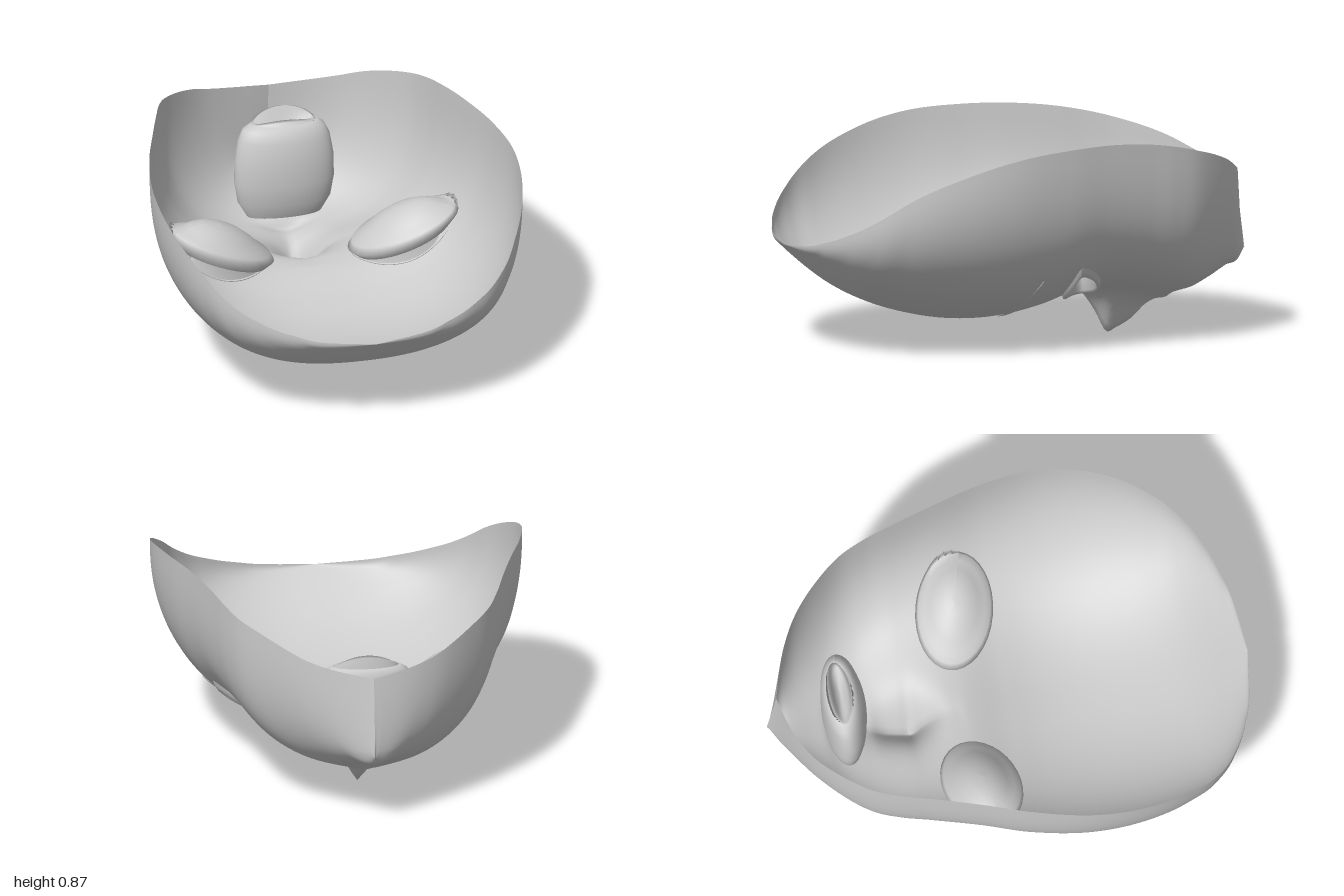
import * as THREE from 'three';

const material = new THREE.MeshStandardMaterial({ color: 0xcccccc, side: THREE.DoubleSide });

// Smooth curve through [position, value] pairs sorted by position
function curve(pts) {
  const step = i => (pts[i + 1][1] - pts[i][1]) / (pts[i + 1][0] - pts[i][0]);
  const slope = i => {
    if (i === 0) return step(0);
    if (i === pts.length - 1) return step(i - 1);
    const h0 = pts[i][0] - pts[i - 1][0], h1 = pts[i + 1][0] - pts[i][0];
    return (step(i - 1) * h1 + step(i) * h0) / (h0 + h1);
  };
  return p => {
    if (p <= pts[0][0]) return pts[0][1];
    if (p >= pts[pts.length - 1][0]) return pts[pts.length - 1][1];
    let i = 0;
    while (p > pts[i + 1][0]) i++;
    const [x0, y0] = pts[i], [x1, y1] = pts[i + 1];
    const h = x1 - x0, t = (p - x0) / h, t2 = t * t, t3 = t2 * t;
    return (2 * t3 - 3 * t2 + 1) * y0 + (t3 - 2 * t2 + t) * h * slope(i)
      + (3 * t2 - 2 * t3) * y1 + (t3 - t2) * h * slope(i + 1);
  };
}

// Outline half-width, rim height, lowest line, section squareness, nose and lips, along z (chin to forehead)
const halfWidth = curve([[-1, 0], [-0.95, 0.13], [-0.88, 0.26], [-0.8, 0.365], [-0.72, 0.445], [-0.63, 0.515], [-0.52, 0.565],
  [-0.4, 0.603], [-0.2, 0.665], [0, 0.725], [0.26, 0.765], [0.43, 0.75], [0.66, 0.67], [0.78, 0.59], [0.87, 0.48],
  [0.94, 0.33], [0.98, 0.18], [1, 0]]);
const rimY = curve([[-1, 0.65], [-0.88, 0.705], [-0.8, 0.75], [-0.6, 0.82], [-0.4, 0.86], [-0.2, 0.875], [0, 0.87],
  [0.2, 0.85], [0.43, 0.79], [0.67, 0.68], [0.83, 0.56], [1, 0.43]]);
const lowY = curve([[-1, 0.33], [-0.97, 0.285], [-0.9, 0.26], [-0.8, 0.215], [-0.7, 0.18], [-0.6, 0.175], [-0.4, 0.21],
  [-0.18, 0.205], [0, 0.145], [0.13, 0.115], [0.27, 0.105], [0.48, 0.13], [0.75, 0.23], [1, 0.43]]);
const squareness = curve([[-1, 2.3], [-0.85, 2.4], [-0.65, 2.7], [-0.4, 2.9], [-0.15, 2.8], [0.2, 2.45], [1, 2.4]]);
const nose = curve([[-0.64, 0], [-0.6, 0.03], [-0.5, 0.14], [-0.44, 0.185], [-0.4, 0.205], [-0.35, 0.12], [-0.28, 0.03], [-0.18, 0]]);
const lips = curve([[-0.76, 0], [-0.71, 0.014], [-0.68, -0.012], [-0.65, 0.035], [-0.61, 0.02], [-0.56, 0]]);

// Height of the face at a point of the plan
function faceY(x, z) {
  const w = halfWidth(z), n = squareness(z), low = lowY(z);
  const s = w > 1e-6 ? Math.min(Math.abs(x) / w, 1) : 0;
  const noseBump = nose(z) * Math.exp(-Math.pow(Math.abs(x) / 0.085, 1.3));
  const lipBump = lips(z) * Math.exp(-Math.pow(x / 0.09, 2));
  return low + (rimY(z) - low) * (1 - Math.pow(Math.max(1 - Math.pow(s, n), 0), 1 / n)) - noseBump - lipBump;
}

// Surface from a grid of points; keep() may leave out cells
function surface(name, rows, cols, point, keep = () => true) {
  const pos = [], index = [];
  for (let i = 0; i <= rows; i++)
    for (let j = 0; j <= cols; j++) pos.push(...point(i, j));
  for (let i = 0; i < rows; i++)
    for (let j = 0; j < cols; j++) {
      if (!keep(i, j)) continue;
      const a = i * (cols + 1) + j, b = a + cols + 1;
      index.push(a, a + 1, b, a + 1, b + 1, b);
    }
  const g = new THREE.BufferGeometry();
  g.setAttribute('position', new THREE.Float32BufferAttribute(pos, 3));
  g.setIndex(index);
  g.computeVertexNormals();
  const mesh = new THREE.Mesh(g, material);
  mesh.name = name;
  return mesh;
}

// Eye opening: centre, half-axes and turn in plan
const eye = { x: 0.36, z: -0.168, a: 0.172, b: 0.07, turn: 0.33 };
const cosT = Math.cos(eye.turn), sinT = Math.sin(eye.turn);

const eyePoint = (u, v) => [eye.x + u * cosT - v * sinT, eye.z + u * sinT + v * cosT];

function eyeRadius(x, z) {
  const dx = Math.abs(x) - eye.x, dz = z - eye.z;
  return Math.hypot((dx * cosT + dz * sinT) / eye.a, (dz * cosT - dx * sinT) / eye.b);
}

// Shell of the mask, with points inside an eye opening moved to its edge
function makeShell() {
  const rows = 160, cols = 88;
  const plan = (i, j) => {
    const t = i / rows * 2 - 1;
    const z = 0.6 * t + 0.4 * Math.sin(t * Math.PI / 2);
    return [halfWidth(z) * Math.sin((j / cols - 0.5) * Math.PI), z];
  };
  return surface('maskShell', rows, cols, (i, j) => {
    let [x, z] = plan(i, j);
    const r = eyeRadius(x, z);
    if (r < 1) {
      const side = Math.sign(x), k = 1 / Math.max(r, 0.05);
      x = side * (eye.x + (side * x - eye.x) * k);
      z = eye.z + (z - eye.z) * k;
    }
    // the first row runs straight up the chin ridge
    const y = i === 0 ? 0.33 + 0.32 * Math.abs(j / cols - 0.5) * 2 : faceY(x, z);
    const chin = Math.max(0, (-0.8 - z) / 0.2) ** 2;
    return [x, y, z + 0.04 * chin * Math.max(0, (y - 0.33) / 0.32)];
  }, (i, j) => ![[i, j], [i + 1, j], [i, j + 1], [i + 1, j + 1]].every(c => eyeRadius(...plan(...c)) < 1));
}

// Eyelid ring with a drawn-out outer corner; profile rows are [scale, height from the face]
function makeEyelids() {
  const profile = [[1.1, 0.004], [1.05, -0.016], [0.97, -0.022], [0.9, -0.01], [0.88, 0.045]];
  return surface('eyelids', profile.length - 1, 40, (i, j) => {
    const a = j / 40 * Math.PI * 2, [k, h] = profile[i];
    const u = eye.a * Math.cos(a) * (1 + 0.12 * Math.pow(Math.max(Math.cos(a), 0), 8));
    const v = eye.b * Math.sin(a) * Math.pow(Math.abs(Math.sin(a)), 0.2);
    const [x, z] = eyePoint(u * k, v * (1 + (k - 1) * 1.5));
    return [x, faceY(x, z) + h, z];
  });
}

// Closed pouch behind the eye opening, kept inside the shell
function makeEyePouch() {
  const profile = [[0.84, 0], [1, 0.04], [0.93, 0.065], [0.8, 0.075], [0.62, 0.105], [0.4, 0.13], [0.2, 0.14], [0, 0.143]];
  const c = Math.cos(0.24), s = Math.sin(0.24);
  return surface('eyePouch', profile.length - 1, 32, (i, j) => {
    const a = j / 32 * Math.PI * 2, [k, h] = profile[i];
    const u = 0.228 * k * Math.cos(a), v = 0.16 * k * Math.sin(a);
    const x = 0.383 + u * c - v * s, z = -0.163 + u * s + v * c;
    return [x, Math.max(0.22 + 0.4 * (x - 0.17) + h, faceY(x, z) + 0.006 + h * 0.3), z];
  });
}

// Thin raised crescent over the eye
function makeBrow() {
  return surface('browLine', 24, 4, (i, j) => {
    const t = i / 24, x = 0.2 + 0.38 * t;
    const z = 0.14 - 0.07 * t * t + (j / 2 - 1) * 0.017 * Math.sin(Math.PI * t);
    return [x, faceY(x, z) - (j % 4 ? 0.006 : 0.002), z];
  });
}

// Deep mouth pouch with a narrow tilted neck and a recessed floor
function makeMouthPouch() {
  const rings = [[0.2, 0.155, 0.048], [0.27, 0.195, 0.08], [0.36, 0.21, 0.09], [0.46, 0.208, 0.092], [0.55, 0.193, 0.085],
    [0.595, 0.172, 0.072], [0.615, 0.14, 0.055], [0.605, 0.128, 0.048], [0.645, 0.135, 0.046], [0.65, 0.12, 0.032],
    [0.605, 0.115, 0.028], [0.6, 0, 0]];
  return surface('mouthPouch', rings.length - 1, 40, (i, j) => {
    const a = j / 40 * Math.PI * 2, [y, rx, rz] = rings[i];
    const tilt = i === 8 || i === 9 ? -0.03 * Math.cos(a) ** 2 - 0.018 * Math.sin(a) : 0;
    return [rx * Math.cos(a), y + tilt, -0.68 - 0.02 * Math.max(0, (y - 0.5) / 0.15) + rz * Math.sin(a)];
  });
}

export function createModel() {
  const model = new THREE.Group();
  model.name = 'faceMask';
  model.add(makeShell(), makeMouthPouch());

  for (const side of [1, -1]) {
    const group = new THREE.Group();
    group.name = side > 0 ? 'leftEye' : 'rightEye';
    group.scale.x = side;
    group.add(makeEyelids(), makeEyePouch(), makeBrow());
    model.add(group);
  }
  return model;
}
